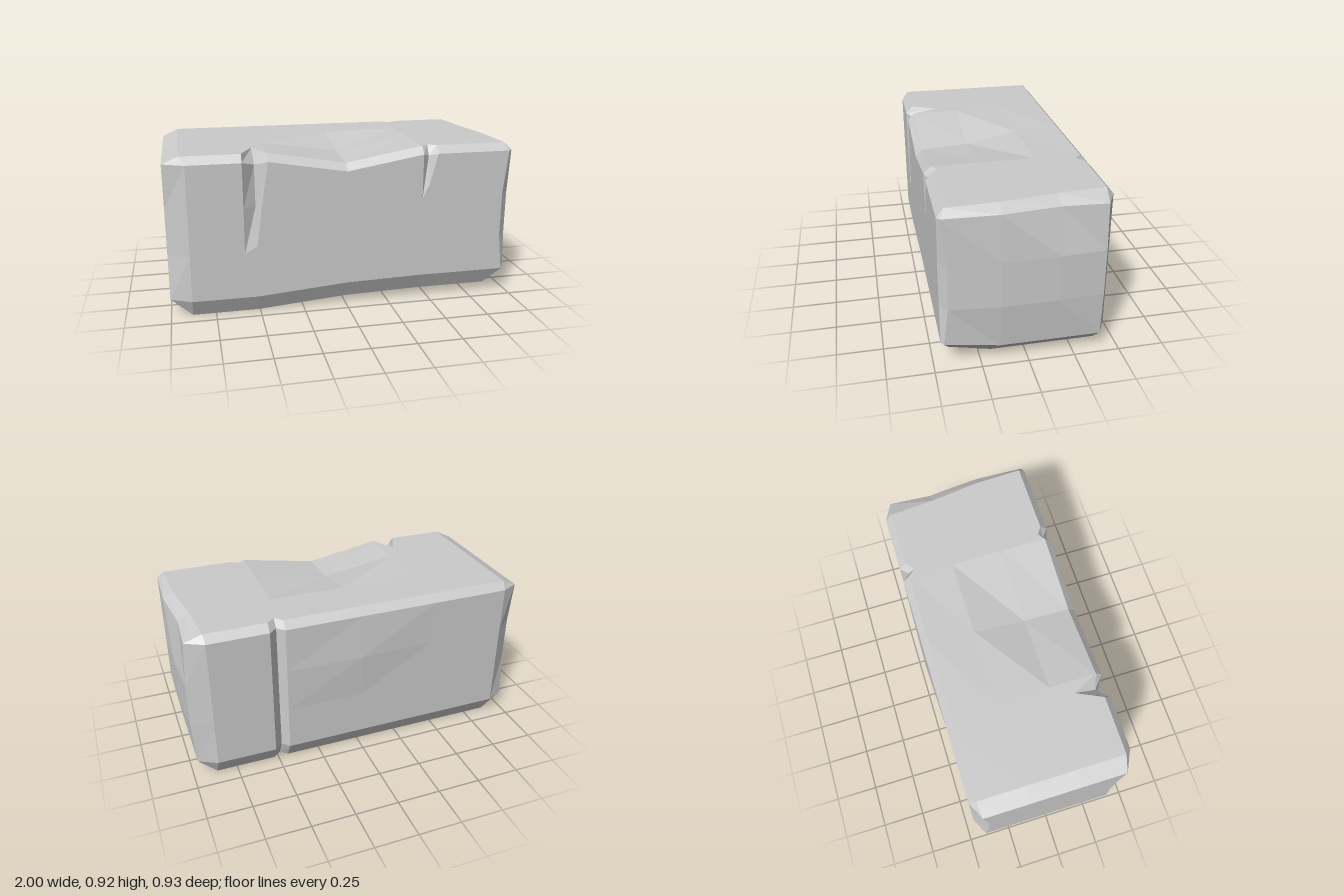
import * as THREE from 'three';

const ROWS = [0.1, 0.36, 0.62, 0.875];   // heights of the side grid
const TOPZ = [-0.41, -0.15, 0.15, 0.42]; // depths of the top grid
const BOTZ = [-0.395, -0.15, 0.18, 0.41];
// stations along the block; the extra ones carry the grooves
const XS = [-0.9, -0.58, -0.51, -0.44, 0, 0.44, 0.48, 0.525, 0.9];

// ring index -> [depth index u, height index v]; runs bottom, front, top, back
const uv = (j) => [[j, 0], [3, j - 4], [11 - j, 3], [0, 15 - j]][Math.floor(j / 4)];

// lower front edge rises towards the left end
const lift = (x) => (x <= -0.51 ? 0 : x < 0 ? 0.04 * (x + 0.51) / 0.51 : 0.04 + 0.01 * Math.min(1, x / 0.44));

// sagging top: deepest at mid-length, fading towards the back
const sag = (x, depth) => depth * Math.max(0, 1 - Math.abs(x) / 0.44);

function ringPoint(i, j) {
  const x0 = XS[i], side = Math.floor(j / 4), [u, v] = uv(j);
  const first = i === 0, last = i === XS.length - 1;
  let x = x0, y, z;
  if (side === 0) { // underside
    y = u === 3 ? lift(x0) : 0;
    z = BOTZ[u];
    if (first) x = -0.88;
    if (last) x = 0.865;
    if (i === 6 && u === 0) z = -0.36;
  } else if (side === 1) { // front
    y = ROWS[v];
    z = 0.46;
    if (v === 0) y += lift(x0);
    if (v === 3) y -= sag(x0, 0.075);
    if (first) x = -0.88;
    if (last) x = v === 1 || v === 2 ? 0.93 : 0.955;
    // long crack
    if (i === 2) [y, z] = [[y, z], [0.4, 0.46], [0.62, 0.42], [0.85, 0.4]][v];
    if (i === 3 && v === 2) x = -0.48;
    // short crack
    if (i === 6) [y, z] = [[y, z], [y, z], [0.7, 0.46], [0.86, 0.425]][v];
  } else if (side === 2) { // top
    y = 0.917 - sag(x0, [0, 0.007, 0.062, 0.077][u]);
    z = TOPZ[u];
    if (first) x = -0.91;
    if (last) x = [0.87, 0.89, 0.93, 0.94][u];
    if (i === 2 && u === 3) z = 0.27;
    if (i === 6 && u === 3) z = 0.39;
    if (i === 6 && u === 0) z = -0.37;
  } else { // back, with a slight bulge and a full-height groove
    y = ROWS[v];
    z = -0.45;
    if (last) x = 0.865;
    if (v === 2 && i === 4) z = -0.465;
    if (v === 2 && i === 5) z = -0.455;
    if (i === 6) z = -0.41;
  }
  return [x, y, z];
}

// end faces: 4 x 4 grids, the left one bulging
function endPoint(left, u, v) {
  const mid = v === 1 || v === 2;
  let y = ROWS[v], x = -1, z = [mid ? -0.375 : -0.4, -0.15, 0.15, mid ? 0.38 : 0.4][u];
  if (left) {
    x = mid ? [0.985, 1, 1, 0.975][u] : v === 3 ? [0.97, 0.955, 0.985, 0.975][u] : 0.97;
    if (u === 3) z = mid ? 0.42 : 0.445;
    if (u === 0) z = -0.395;
    if (u === 3 && v === 0) y = 0.147;
  }
  return [x, y, z];
}

function blockGeometry() {
  const pos = [];
  const quad = (a, b, c, d) => pos.push(...a, ...b, ...c, ...a, ...c, ...d);
  const ring = (f) => Array.from({ length: 16 }, (_, j) => f(j));
  const rings = [
    ring((j) => endPoint(false, ...uv(j))),
    ...XS.map((_, i) => ring((j) => ringPoint(i, j))),
    ring((j) => endPoint(true, ...uv(j))),
  ];
  for (let i = 0; i + 1 < rings.length; i++) {
    for (let j = 0; j < 16; j++) {
      const k = (j + 1) % 16;
      quad(rings[i][j], rings[i + 1][j], rings[i + 1][k], rings[i][k]);
    }
  }
  for (const left of [false, true]) {
    for (let u = 0; u < 3; u++) {
      for (let v = 0; v < 3; v++) {
        const [a, b, c, d] = [[u, v], [u + 1, v], [u + 1, v + 1], [u, v + 1]].map((p) => endPoint(left, ...p));
        if (left) quad(a, d, c, b);
        else quad(a, b, c, d);
      }
    }
  }
  const geo = new THREE.BufferGeometry();
  geo.setAttribute('position', new THREE.Float32BufferAttribute(pos, 3));
  geo.computeVertexNormals();
  return geo;
}

export function createModel() {
  const group = new THREE.Group();
  group.name = 'stoneBrick';
  const block = new THREE.Mesh(
    blockGeometry(),
    new THREE.MeshStandardMaterial({ color: 0xcccccc, flatShading: true })
  );
  block.name = 'stoneBlock';
  group.add(block);
  return group;
}
